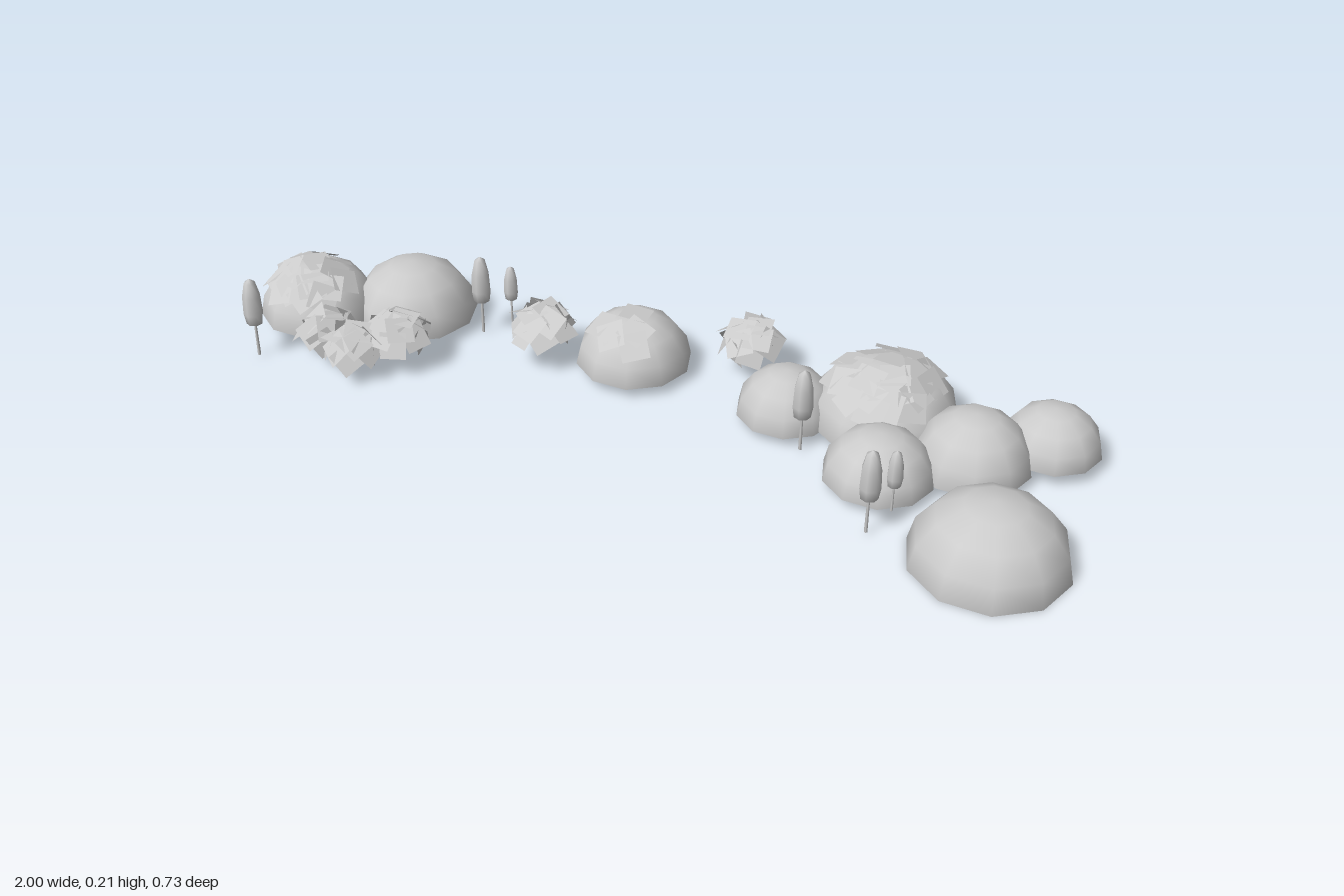
import * as THREE from 'three';

const material = new THREE.MeshStandardMaterial({ color: 0xcccccc, side: THREE.DoubleSide });
const rad = THREE.MathUtils.degToRad;

// Small seeded generator, returns -1..1
let seed = 11;
function jitter() {
  seed = (seed * 16807) % 2147483647;
  return (seed / 2147483647) * 2 - 1;
}

function add(parent, geometry, name) {
  const mesh = new THREE.Mesh(geometry, material);
  mesh.name = name;
  parent.add(mesh);
  return mesh;
}

// Open half-sphere shrub; 'open' leaves two lower columns out at the back
function dome(x, z, base, r, h, open) {
  const g = new THREE.Group();
  g.name = 'domeShrub';
  g.position.set(x, base, z);
  g.scale.y = h / r;
  const start = rad(-5);
  const split = open ? rad(45) : rad(90);
  add(g, new THREE.SphereGeometry(r, 10, open ? 2 : 4, start, Math.PI * 2, 0, split), 'domeCrown');
  if (open) {
    add(g, new THREE.SphereGeometry(r, 8, 2, start, rad(288), split, rad(45)), 'domeSkirt');
  }
  return g;
}

// Square leaf card facing along a direction
function leafCard(parent, position, normal, size) {
  const card = add(parent, new THREE.PlaneGeometry(size, size), 'leafCard');
  card.quaternion.setFromUnitVectors(new THREE.Vector3(0, 0, 1), normal.clone().normalize());
  card.rotateZ(jitter() * Math.PI);
  card.position.copy(position);
}

// Leaf cards spread over the upper part of a dome
function domeLeaves(x, z, base, r, h, count, centre, spread, tilt) {
  const g = new THREE.Group();
  g.name = 'domeLeaves';
  g.position.set(x, base, z);
  for (let i = 0; i < count; i++) {
    const a = i * 2.4;
    const s = spread * Math.sqrt((i + 0.5) / count);
    const n = new THREE.Vector3(Math.cos(a) * s, 1, Math.sin(a) * s + centre).normalize();
    const p = new THREE.Vector3(n.x * r, n.y * h, n.z * r).multiplyScalar(1.0);
    n.add(new THREE.Vector3(jitter(), jitter(), jitter()).multiplyScalar(tilt));
    leafCard(g, p, n, 0.065);
  }
  return g;
}

// Loose bush made of tilted leaf cards
function bush(x, y, z, r, count) {
  const g = new THREE.Group();
  g.name = 'leafBush';
  g.position.set(x, y, z);
  for (let i = 0; i < count; i++) {
    const a = i * 2.4;
    const up = 1 - (1.5 * (i + 0.5)) / count;
    const ring = Math.sqrt(1 - up * up);
    const n = new THREE.Vector3(Math.cos(a) * ring, up, Math.sin(a) * ring);
    const p = new THREE.Vector3(n.x * r, n.y * r * 0.7, n.z * r);
    n.add(new THREE.Vector3(jitter() * 0.4, 0.6 + jitter() * 0.4, jitter() * 0.4));
    leafCard(g, p, n, 0.062);
  }
  return g;
}

// Slim column tree: thin trunk and a pointed crown open along one side
function columnTree(x, z, base, height) {
  const g = new THREE.Group();
  g.name = 'columnTree';
  g.position.set(x, base, z);
  g.scale.setScalar(height / 0.205);
  const trunk = add(g, new THREE.CylinderGeometry(0.003, 0.004, 0.1, 5), 'trunk');
  trunk.position.y = 0.05;
  const profile = [[0.004, 0.08], [0.019, 0.088], [0.023, 0.115], [0.021, 0.16], [0.013, 0.195], [0, 0.205]];
  const points = profile.map(([r, y]) => new THREE.Vector2(r, y));
  add(g, new THREE.LatheGeometry(points, 6, rad(255), rad(300)), 'crown');
  return g;
}

export function createModel() {
  const model = new THREE.Group();
  model.name = 'shrubBorder';

  // Domes: x, z, base, radius, height, open at the back
  const domes = [
    [0.83, 0.2, 0, 0.17, 0.148, false],
    [0.885, -0.19, 0.03, 0.11, 0.1, false],
    [0.735, -0.085, 0.022, 0.13, 0.125, false],
    [0.56, 0.03, 0.022, 0.122, 0.108, false],
    [0.31, -0.13, 0.022, 0.113, 0.108, false],
    [0.52, -0.18, 0.025, 0.168, 0.145, true],
    [-0.08, -0.205, 0.025, 0.135, 0.122, true],
    [-0.65, -0.215, 0.028, 0.15, 0.135, true],
    [-0.86, -0.125, 0.038, 0.14, 0.128, true],
  ];
  for (const d of domes) model.add(dome(...d));

  // Leaf cards on three of the domes
  model.add(domeLeaves(0.52, -0.18, 0.025, 0.168, 0.145, 20, 0.25, 0.95, 0.16));
  model.add(domeLeaves(-0.86, -0.125, 0.038, 0.14, 0.128, 18, 0.3, 0.9, 0.16));
  model.add(domeLeaves(-0.08, -0.205, 0.025, 0.135, 0.122, 5, 0.45, 0.65, 0.12));

  // Loose bushes: x, y, z, radius, number of cards
  const bushes = [
    [0.18, 0.095, -0.275, 0.055, 15],
    [-0.285, 0.1, -0.16, 0.057, 16],
    [-0.6, 0.085, -0.03, 0.06, 16],
    [-0.76, 0.08, 0.005, 0.055, 14],
    [-0.68, 0.075, 0.04, 0.055, 14],
  ];
  for (const b of bushes) model.add(bush(...b));

  // Column trees: x, z, base, height
  const trees = [
    [-0.92, 0.065, 0.005, 0.205],
    [-0.47, -0.215, 0.005, 0.205],
    [-0.415, -0.262, 0.018, 0.152],
    [0.375, -0.022, 0.005, 0.205],
    [0.58, 0.205, 0.005, 0.205],
    [0.615, 0.135, 0.018, 0.152],
  ];
  for (const t of trees) model.add(columnTree(...t));

  return model;
}
